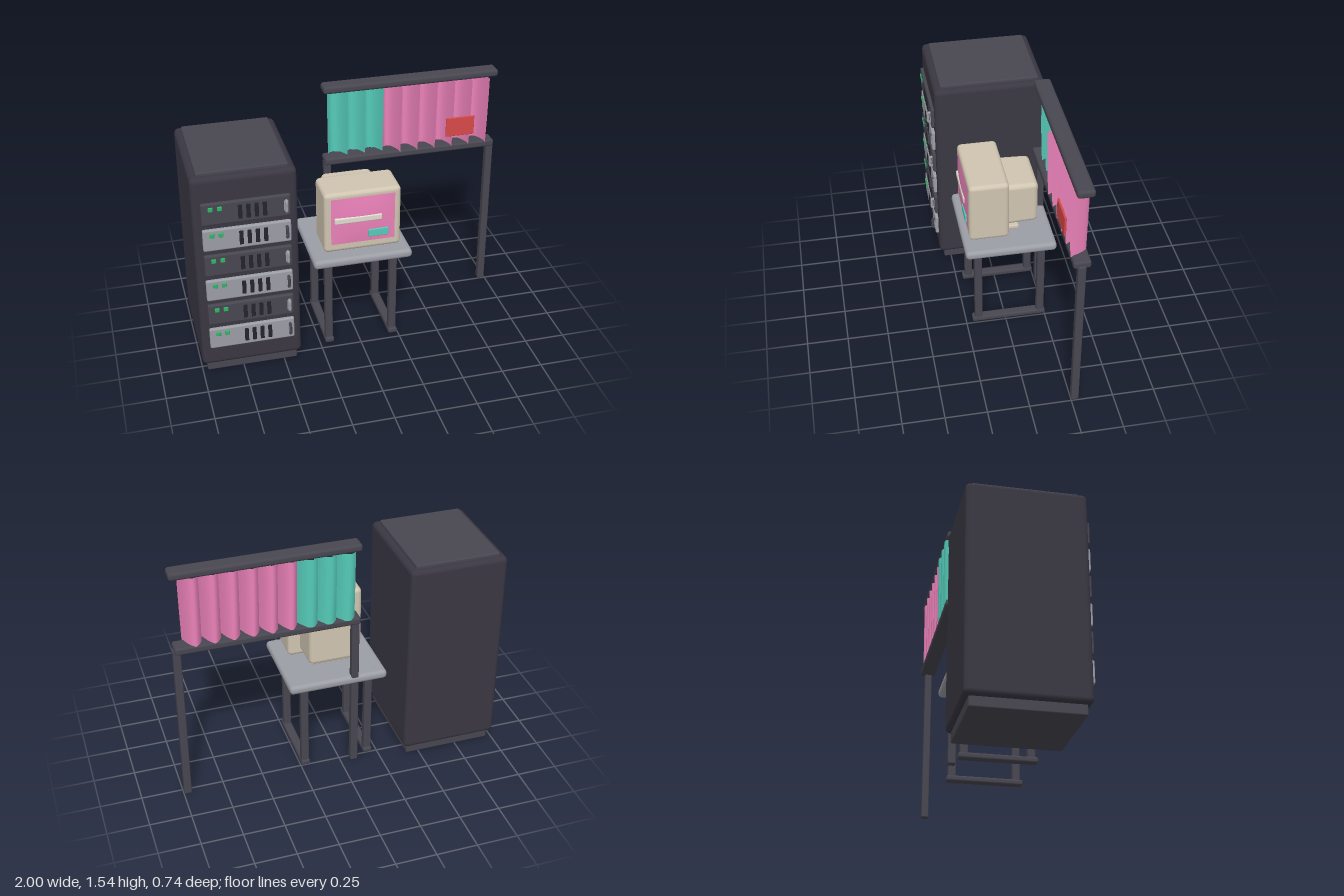
import * as THREE from 'three';
import { RoundedBoxGeometry } from 'three/addons/geometries/RoundedBoxGeometry.js';

const paint = (color, side = THREE.FrontSide) => {
  const m = new THREE.MeshStandardMaterial({ side });
  m.color.set(color);
  return m;
};

export function createModel() {
  const model = new THREE.Group();
  const mats = {
    cabinet: paint(0x3a3742), dark: paint(0x484650), slot: paint(0x25242b),
    grey: paint(0x9c9ea6), beige: paint(0xd0c5b1), cream: paint(0xe2dccf),
    green: paint(0x2fb566), red: paint(0xd94a4a),
    pink: paint(0xec82ba, THREE.DoubleSide), teal: paint(0x55cbb9, THREE.DoubleSide),
  };

  const group = (name, parent = model) => {
    const g = new THREE.Group();
    g.name = name;
    parent.add(g);
    return g;
  };
  const mesh = (parent, name, geometry, mat) => {
    const m = new THREE.Mesh(geometry, mats[mat]);
    m.name = name;
    parent.add(m);
    return m;
  };
  // Rounded box given by its limits on each axis
  const box = (parent, name, mat, [x0, x1], [y0, y1], [z0, z1], r = 0.01) => {
    const m = mesh(parent, name, new RoundedBoxGeometry(x1 - x0, y1 - y0, z1 - z0, 2, r), mat);
    m.position.set((x0 + x1) / 2, (y0 + y1) / 2, (z0 + z1) / 2);
    return m;
  };
  const around = (c, size) => [c - size / 2, c + size / 2];

  // Equipment cabinet
  const rack = group('cabinet');
  box(rack, 'plinth', 'dark', [-0.97, -0.42], [0, 0.08], [-0.335, 0.295], 0.008);
  box(rack, 'cabinetBody', 'cabinet', [-1, -0.395], [0.06, 1.325], [-0.365, 0.325], 0.03);
  box(rack, 'cabinetTop', 'dark', [-0.96, -0.435], [1.3, 1.345], [-0.328, 0.285], 0.01);

  // Six stacked units with lights, vents and a pull handle
  const handleCurve = new THREE.CatmullRomCurve3([
    [-0.034, 0], [-0.03, 0.017], [0, 0.018], [0.03, 0.017], [0.034, 0],
  ].map(([y, z]) => new THREE.Vector3(0, y, z)));
  const handleGeometry = new THREE.TubeGeometry(handleCurve, 16, 0.009, 8);
  for (let i = 0; i < 6; i++) {
    const y = 0.26 + i * 0.169;
    const unit = group('rackUnit' + (i + 1), rack);
    box(unit, 'unitFace', i % 2 ? 'dark' : 'grey', [-0.95, -0.44], around(y, 0.138), [0.3, 0.345], 0.01);
    for (const x of [-0.897, -0.845]) {
      box(unit, 'statusLight', 'green', around(x, 0.028), around(y + 0.034, 0.028), [0.335, 0.352], 0.005);
    }
    for (let k = 0; k < 4; k++) {
      box(unit, 'ventSlot', 'slot', around(-0.73 + k * 0.047, 0.024), around(y, 0.09), [0.335, 0.349], 0.004);
    }
    mesh(unit, 'pullHandle', handleGeometry, i % 2 ? 'grey' : 'dark').position.set(-0.467, y, 0.342);
    box(unit, 'handlePlate', 'grey', around(-0.467, 0.026), around(y, 0.07), [0.335, 0.349], 0.005);
  }

  // Table with two side frames
  const table = group('table');
  box(table, 'tableTop', 'grey', [-0.29, 0.32], [0.577, 0.634], [-0.3, 0.255], 0.024);
  for (const x of [-0.19, 0.217]) {
    const frame = group('tableSideFrame', table);
    for (const z of [0.17, -0.222]) {
      box(frame, 'tableLeg', 'dark', around(x, 0.048), [0.01, 0.585], around(z, 0.048), 0.01);
    }
    box(frame, 'footRail', 'dark', around(x, 0.056), [0, 0.036], [-0.255, 0.21], 0.012);
    box(frame, 'upperRail', 'dark', around(x, 0.04), [0.525, 0.565], [-0.22, 0.17], 0.008);
  }

  // Monitor
  const monitor = group('monitor');
  box(monitor, 'monitorBase', 'beige', [-0.11, 0.135], [0.632, 0.66], [-0.1, 0.12], 0.008);
  box(monitor, 'monitorNeck', 'beige', [-0.06, 0.085], [0.65, 0.71], [-0.06, 0.08], 0.01);
  box(monitor, 'monitorCase', 'beige', [-0.22, 0.25], [0.668, 1.064], [-0.02, 0.222], 0.026);
  const rear = box(monitor, 'tubeHousing', 'beige', [-0.15, 0.176], [0.7, 0.988], [-0.21, 0.03], 0.03);
  // Housing narrows a little toward the back
  const rp = rear.geometry.attributes.position;
  for (let i = 0; i < rp.count; i++) {
    const s = 0.965 + 0.035 * THREE.MathUtils.clamp((rp.getZ(i) + 0.12) / 0.2, 0, 1);
    rp.setXY(i, rp.getX(i) * s, rp.getY(i) * s);
  }
  rear.geometry.computeBoundingSphere();

  // Gently domed screen
  const screenGeometry = new THREE.PlaneGeometry(0.39, 0.305, 16, 12);
  const sp = screenGeometry.attributes.position;
  for (let i = 0; i < sp.count; i++) {
    const u = sp.getX(i) / 0.195, v = sp.getY(i) / 0.1525;
    sp.setZ(i, 0.01 * (1 - u * u) * (1 - v * v));
  }
  screenGeometry.computeVertexNormals();
  mesh(monitor, 'screen', screenGeometry, 'pink').position.set(0.015, 0.877, 0.2235);
  box(monitor, 'screenBar', 'cream', [-0.16, 0.13], [0.865, 0.905], [0.215, 0.238], 0.008);
  box(monitor, 'screenLabel', 'teal', [0.045, 0.17], [0.755, 0.805], [0.215, 0.236], 0.005);

  // Curtain stand
  const stand = group('curtainStand');
  for (const x of [-0.085, 0.974]) {
    box(stand, 'standPost', 'dark', around(x, 0.046), [0, 1.03], around(-0.273, 0.046), 0.008);
  }
  box(stand, 'lowerRail', 'dark', [-0.105, 0.99], [1.014, 1.06], [-0.325, -0.225], 0.014);
  box(stand, 'upperRail', 'dark', [-0.11, 0.993], [1.49, 1.538], [-0.325, -0.225], 0.018);

  // Curved hanging strips, the right edge swung forward and pulled back at the foot
  const strip = (width, backZ, swing, bow) => {
    const g = new THREE.PlaneGeometry(width, 0.44, 12, 12);
    const p = g.attributes.position;
    for (let i = 0; i < p.count; i++) {
      const u = p.getX(i) / (width / 2);
      const low = 0.5 - p.getY(i) / 0.44;
      p.setZ(i, backZ + swing * (1 - 0.35 * low * low) * u + bow * u * u);
    }
    g.computeVertexNormals();
    return g;
  };
  const tealStrip = strip(0.113, -0.327, 0.036, 0.05);
  const pinkStrip = strip(0.103, -0.319, 0.044, 0.07);
  for (let i = 0; i < 9; i++) {
    const isTeal = i < 3;
    const s = mesh(stand, isTeal ? 'tealStrip' : 'pinkStrip', isTeal ? tealStrip : pinkStrip, isTeal ? 'teal' : 'pink');
    s.position.set(-0.014 + i * 0.1115, 1.275, 0);
  }
  box(stand, 'redTag', 'red', [0.66, 0.843], [1.13, 1.255], [-0.214, -0.202], 0.004);

  return model;
}
